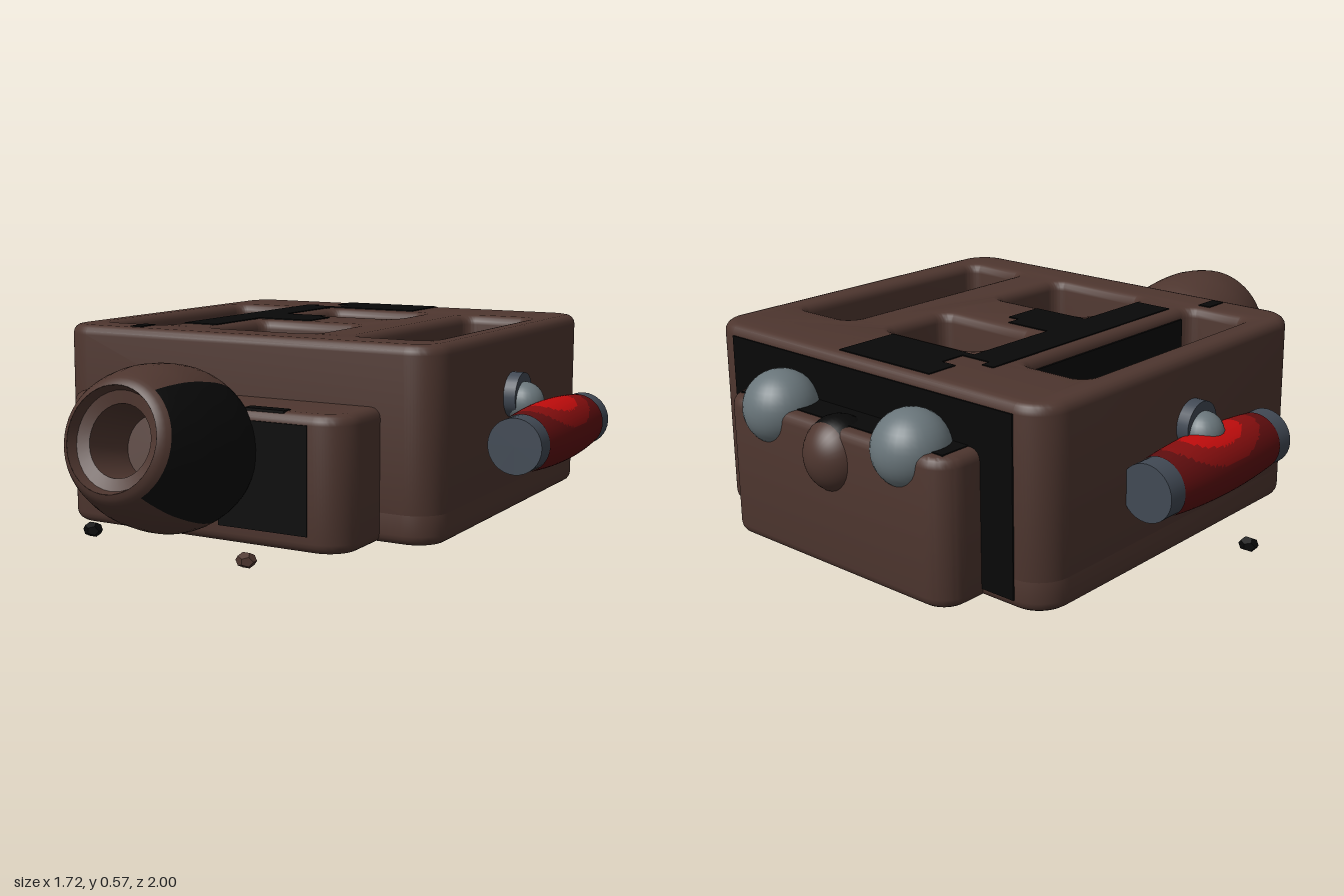
import * as THREE from 'three';
import { toCreasedNormals } from 'three/addons/utils/BufferGeometryUtils.js';

const mat = (name, color, side = THREE.FrontSide) => {
  const m = new THREE.MeshStandardMaterial({ color, side });
  m.name = name;
  return m;
};

export function createModel() {
  const brown = mat('brown', 0x4e362f, THREE.DoubleSide);
  const black = mat('black', 0x080808, THREE.DoubleSide);
  const brightRed = mat('brightRed', 0xc00c0c);
  const midRed = mat('midRed', 0x850e0e);
  const darkRed = mat('darkRed', 0x5e0d0e);
  const grey = mat('grey', 0x69757a);
  const slate = mat('slate', 0x414954);
  const root = new THREE.Group();

  const add = (name, geo, material, x = 0, y = 0, z = 0, parent = root) => {
    const m = new THREE.Mesh(geo, material);
    m.name = name;
    m.position.set(x, y, z);
    parent.add(m);
    return m;
  };

  // Rounded rectangle drawn in x and -z
  const roundRect = (P, x0, x1, z0, z1, r) => {
    const s = new P(), a = -z1, b = -z0;
    s.moveTo(x0 + r, a);
    s.lineTo(x1 - r, a);
    s.absarc(x1 - r, a + r, r, -Math.PI / 2, 0);
    s.lineTo(x1, b - r);
    s.absarc(x1 - r, b - r, r, 0, Math.PI / 2);
    s.lineTo(x0 + r, b);
    s.absarc(x0 + r, b - r, r, Math.PI / 2, Math.PI);
    s.lineTo(x0, a + r);
    s.absarc(x0 + r, a + r, r, Math.PI, Math.PI * 1.5);
    return s;
  };

  // Upright slab with softened edges and optional openings
  const slab = (name, [x0, x1, z0, z1], y0, y1, r, holes = [], b = 0.03) => {
    const s = roundRect(THREE.Shape, x0, x1, z0, z1, r);
    for (const [a, c, d, e] of holes)
      s.holes.push(roundRect(THREE.Path, a + 0.01, c - 0.01, d + 0.01, e - 0.01, 0.04));
    const g = new THREE.ExtrudeGeometry(s, {
      depth: y1 - y0 - 2 * b, bevelSize: b, bevelThickness: b,
      bevelOffset: -b, bevelSegments: 4, curveSegments: 8
    });
    g.rotateX(-Math.PI / 2);
    g.translate(0, y0 + b, 0);
    return add(name, toCreasedNormals(g, 0.6), brown);
  };

  // Main body: closed base and a pocketed upper part
  const body = [-0.67, 0.635, -0.81, 0.38];
  slab('bodyBase', body, 0, 0.12, 0.1);
  slab('bodyWalls', body, 0.06, 0.57, 0.1, [
    [-0.59, -0.36, -0.55, 0.24], [0.31, 0.55, -0.55, 0.24],
    [-0.2, 0.17, -0.55, -0.29], [-0.2, 0.17, -0.07, 0.24]
  ]);
  slab('frontBlock', [-0.5, 0.465, 0.25, 0.59], 0, 0.39, 0.1);
  slab('rearBlock', [-0.46, 0.42, -0.95, -0.7], 0, 0.42, 0.08);

  // Scorched patches: thin plates given by their bounds
  const patch = (name, x0, x1, y0, y1, z0, z1) => add(name,
    new THREE.BoxGeometry(x1 - x0, y1 - y0, z1 - z0), black,
    (x0 + x1) / 2, (y0 + y1) / 2, (z0 + z1) / 2);
  for (const [x0, x1, z0, z1] of [
    [-0.34, -0.22, -0.575, 0.17], [-0.34, -0.2, -0.6, -0.575], [-0.2, 0.1, -0.78, -0.575],
    [-0.25, -0.2, -0.78, -0.68], [-0.22, -0.03, -0.22, -0.09], [-0.22, -0.07, -0.265, -0.22],
    [-0.34, -0.3, -0.63, -0.6], [-0.425, -0.385, 0.265, 0.34]
  ]) patch('topScorch', x0, x1, 0.566, 0.573, z0, z1);
  patch('rearWallScorch', -0.57, 0.53, 0.03, 0.54, -0.815, -0.807);
  patch('rearBlockScorch', -0.42, 0.38, 0.416, 0.423, -0.91, -0.81);
  patch('frontBlockScorch', 0.06, 0.35, 0.05, 0.36, 0.585, 0.594);
  patch('frontBlockUpperScorch', 0.14, 0.27, 0.385, 0.393, 0.54, 0.58);
  patch('slotWallScorch', -0.377, -0.369, 0.14, 0.54, -0.5, 0.19);

  // Hollow egg-shaped snout, tilted upwards, scorched on one flank
  const snout = new THREE.Group();
  snout.name = 'snout';
  snout.position.set(-0.025, 0.347, 0.968);
  snout.rotation.x = Math.PI / 2 - 0.25;
  root.add(snout);
  const shell = new THREE.SplineCurve([
    [0.075, -0.6], [0.1, -0.55], [0.165, -0.47], [0.215, -0.38], [0.237, -0.28],
    [0.225, -0.16], [0.2, -0.08], [0.17, -0.02], [0.145, 0]
  ].map(p => new THREE.Vector2(...p))).getPoints(28);
  const mouth = [[0.145, 0], [0.135, -0.03], [0.1, -0.04], [0.09, -0.2], [0, -0.2]]
    .map(p => new THREE.Vector2(...p));
  const half = 0.95;
  const lathe = (pts, start, len, n) => new THREE.LatheGeometry(pts, n, start, len);
  const flank = pts => lathe(pts, Math.PI / 2 - half, 2 * half, 14);
  add('snoutShell', lathe(shell, Math.PI / 2 + half, 2 * Math.PI - 2 * half, 32), brown, 0, 0, 0, snout);
  add('snoutRearFlank', flank(shell.slice(0, 6)), brown, 0, 0, 0, snout);
  add('snoutScorch', flank(shell.slice(5, 25)), black, 0, 0, 0, snout);
  add('snoutFrontFlank', flank(shell.slice(24)), brown, 0, 0, 0, snout);
  add('snoutMouth', toCreasedNormals(lathe(mouth, 0, 2 * Math.PI, 32), 0.6), brown, 0, 0, 0, snout);
  const neck = add('snoutNeck', new THREE.CylinderGeometry(0.09, 0.03, 0.11, 24), slate, -0.02, 0.315, 0.425);
  neck.rotation.x = Math.PI / 2;

  // Ball in its ring inside the front pocket
  const ball = new THREE.SphereGeometry(0.11, 32, 20);
  const ring = add('ballRing', new THREE.TorusGeometry(0.125, 0.025, 10, 36), slate, -0.02, 0.2, 0.085);
  ring.rotation.x = Math.PI / 2;
  add('pocketBall', ball, grey, -0.02, 0.22, 0.085);

  // Rear balls, and an egg-shaped knob with a scorched inner end
  for (const x of [-0.28, 0.24]) add('rearBall', ball, grey, x, 0.4, -0.88);
  for (const [name, m, start, len] of [
    ['rearKnob', brown, 0, 1.1], ['rearKnobScorch', black, 1.1, Math.PI - 1.1]
  ]) {
    const g = new THREE.SphereGeometry(0.1, 28, 18, 0, Math.PI * 2, start, len);
    add(name, g.rotateX(-Math.PI / 2), m, -0.02, 0.33, -0.9).scale.y = 1.1;
  }

  // Barrel along z, red bands glowing out from the middle of its top
  const barrelPoints = [];
  for (let i = 0; i <= 32; i++) {
    const t = i / 16 - 1;
    barrelPoints.push(new THREE.Vector2(0.098 - 0.013 * t * t, 0.235 * t));
  }
  const barrel = new THREE.LatheGeometry(barrelPoints, 64).rotateX(Math.PI / 2);
  const bands = [[], [], []];
  const faces = barrel.index.array, at = barrel.attributes.position;
  for (let i = 0; i < faces.length; i += 3) {
    const tri = [...faces.slice(i, i + 3)];
    const mean = axis => tri.reduce((sum, v) => sum + at.getComponent(v, axis), 0) / 3;
    const angle = Math.abs(Math.atan2(mean(0), mean(1)));
    const reach = n => Math.hypot(angle / [0.75, 1.3][n], mean(2) / [0.12, 0.19][n]);
    bands[reach(0) < 1 ? 0 : reach(1) < 1 ? 1 : 2].push(...tri);
  }
  barrel.setIndex(bands.flat());
  let first = 0;
  bands.forEach((band, i) => {
    barrel.addGroup(first, band.length, i);
    first += band.length;
  });

  // Side rollers with axle, collar and ball arm
  const across = (r, len) => new THREE.CylinderGeometry(r, r, len, 28).rotateZ(Math.PI / 2);
  const core = new THREE.CylinderGeometry(0.083, 0.083, 0.59, 32).rotateX(Math.PI / 2);
  for (const [s, rollerX, wall, inner] of [[1, 0.763, 0.635, 0.31], [-1, 0.735, 0.67, 0.33]]) {
    const name = s > 0 ? 'left' : 'right';
    add(name + 'Axle', across(0.05, wall + 0.03 - inner), grey, s * (wall + 0.03 + inner) / 2, 0.37, -0.175);
    add(name + 'Collar', across(0.07, 0.06), slate, s * (wall + 0.008), 0.37, -0.175);
    add(name + 'Arm', new THREE.SphereGeometry(0.062, 24, 16), grey, s * (wall + 0.04), 0.35, -0.175);
    const roller = new THREE.Group();
    roller.name = name + 'Roller';
    roller.position.set(s * rollerX, 0.265, -0.175);
    root.add(roller);
    add('rollerBarrel', barrel, [brightRed, midRed, darkRed], 0, 0, 0, roller);
    add('rollerCore', core, slate, 0, 0, 0, roller);
  }

  // Loose pebbles around the body and in the pockets
  const pebble = new THREE.DodecahedronGeometry(0.03).scale(1, 0.75, 0.85);
  for (const [x, y, z, m] of [
    [-0.835, 0.025, -0.11, black], [-0.28, 0.025, 0.73, black], [0.285, 0.025, 0.8, brown],
    [-0.46, 0.14, -0.24, black], [-0.49, 0.14, 0.06, black], [-0.1, 0.14, -0.45, brown]
  ]) add('pebble', pebble, m, x, y, z);

  return root;
}
